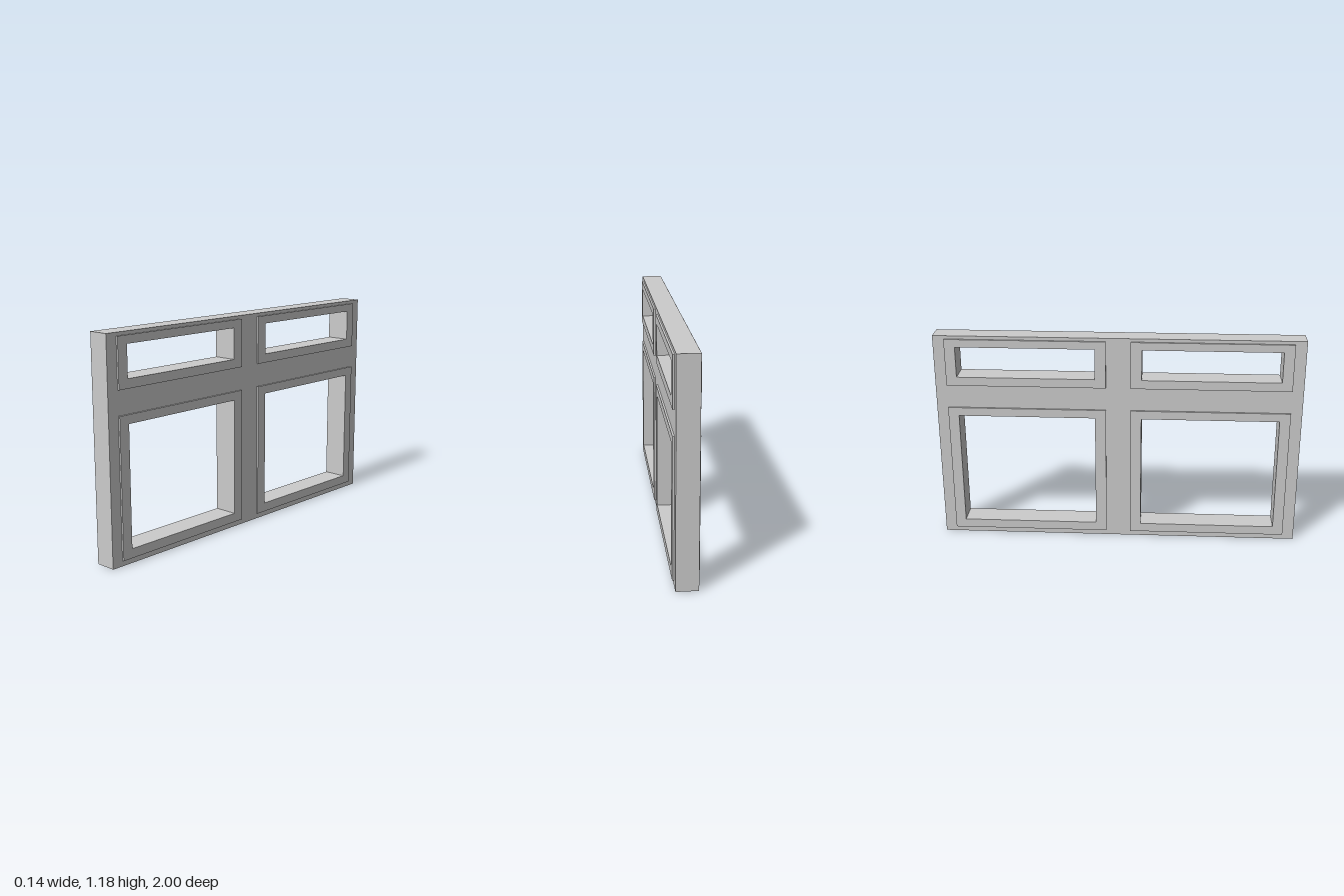
import * as THREE from 'three';

const material = new THREE.MeshStandardMaterial({ color: 0xcccccc });

// Adds a rectangle to a shape or path; u runs along the wall, v is height
function rect(path, [u0, u1, v0, v1]) {
  path.moveTo(u0, v0);
  path.lineTo(u1, v0);
  path.lineTo(u1, v1);
  path.lineTo(u0, v1);
  path.closePath();
  return path;
}

// Flat panel with rectangular openings, centred on x = 0 and lying along z
function panel(name, outer, holes, thickness) {
  const shape = rect(new THREE.Shape(), outer);
  holes.forEach((hole) => shape.holes.push(rect(new THREE.Path(), hole)));
  const geometry = new THREE.ExtrudeGeometry(shape, { depth: thickness, bevelEnabled: false });
  geometry.translate(0, 0, -thickness / 2);
  geometry.rotateY(-Math.PI / 2);
  const mesh = new THREE.Mesh(geometry, material);
  mesh.name = name;
  return mesh;
}

export function createModel() {
  const group = new THREE.Group();
  group.name = 'windowFrame';

  const frameThickness = 0.115;
  const sashThickness = 0.135;
  const sashNear = 0.067, sashFar = 0.938; // distances from the centre post
  const openNear = 0.127, openFar = 0.88;

  // Tall lower lights and shallow transom lights above
  const rows = [
    { name: 'lowerSash', sash: [0.03, 0.771], open: [0.08, 0.724] },
    { name: 'transomSash', sash: [0.9, 1.162], open: [0.949, 1.119] },
  ];

  // Sashes stand slightly proud of the frame on both faces
  const pockets = [];
  for (const { name, sash, open } of rows) {
    for (const side of [-1, 1]) {
      const span = (near, far) => [near * side, far * side].sort((a, b) => a - b);
      const outer = [...span(sashNear, sashFar), ...sash];
      const inner = [...span(openNear, openFar), ...open];
      pockets.push(outer);
      group.add(panel(name + (side > 0 ? 'Front' : 'Back'), outer, [inner], sashThickness));
    }
  }

  // Main frame with centre post and crossbar
  group.add(panel('mainFrame', [-1, 1, 0, 1.18], pockets, frameThickness));
  return group;
}
